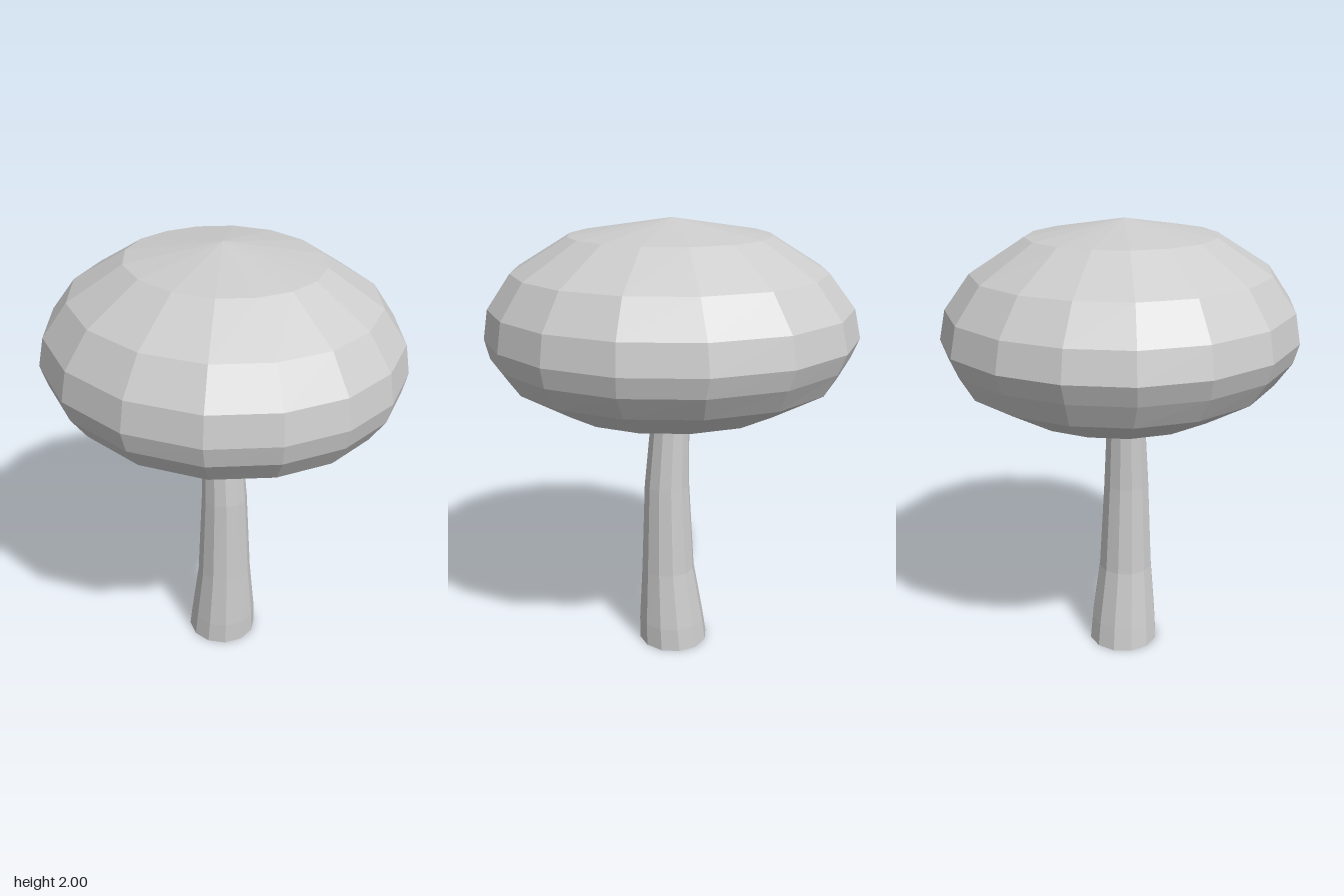
import * as THREE from 'three';

// Joins rings [y, xRadius, zRadius, xCentre, zCentre], bottom to top, into a faceted skin.
// The outline is a list of unit [x, z] points, counter-clockwise seen from above.
function loft(outline, rings) {
  const n = outline.length, pos = [];
  const point = ([y, rx, rz, cx, cz], i) => {
    const [x, z] = outline[i % n];
    return [cx + x * rx, y, cz + z * rz];
  };
  for (let r = 0; r < rings.length - 1; r++) {
    const low = rings[r], high = rings[r + 1];
    for (let i = 0; i < n; i++) {
      const a = point(low, i), b = point(low, i + 1);
      const c = point(high, i + 1), d = point(high, i);
      if (low[1] > 0) pos.push(...a, ...b, ...c);
      if (high[1] > 0) pos.push(...a, ...c, ...d);
      else continue;
      if (low[1] === 0) continue;
    }
  }
  const geometry = new THREE.BufferGeometry();
  geometry.setAttribute('position', new THREE.Float32BufferAttribute(pos, 3));
  geometry.computeVertexNormals(); // unshared corners give flat facets
  return geometry;
}

export function createModel() {
  const group = new THREE.Group();
  group.name = 'mushroom';

  const grey = new THREE.MeshStandardMaterial({ color: 0xcccccc, side: THREE.DoubleSide });
  grey.name = 'light grey';

  // Slightly uneven sixteen-sided cap outline
  const capOutline = [
    [0.8, 0], [0.745, -0.265], [0.59, -0.505], [0.33, -0.685],
    [0, -0.758], [-0.34, -0.705], [-0.605, -0.525], [-0.758, -0.27],
    [-0.803, 0], [-0.758, 0.268], [-0.6, 0.51], [-0.335, 0.69],
    [0, 0.755], [0.335, 0.69], [0.6, 0.51], [0.75, 0.265],
  ].map(([x, z]) => [x / 0.8, z / 0.757]);

  const cap = new THREE.Mesh(loft(capOutline, [
    [1.12, 0, 0, 0, 0],
    [1.205, 0.495, 0.458, 0.004, -0.005],
    [1.33, 0.712, 0.665, 0, -0.003],
    [1.43, 0.772, 0.733, 0.008, 0],
    [1.515, 0.8, 0.757, 0, 0],
    [1.64, 0.775, 0.733, 0.004, 0],
    [1.785, 0.668, 0.63, 0.01, 0],
    [1.93, 0.43, 0.402, 0.008, -0.003],
    [2.0, 0, 0, 0, 0],
  ]), grey);
  cap.name = 'cap';
  group.add(cap);

  // Gently bent, tapering stem, open at the foot
  const sides = 12;
  const stemOutline = Array.from({ length: sides }, (_, i) => {
    const t = (i / sides) * Math.PI * 2;
    return [Math.cos(t), -Math.sin(t)];
  });
  const stem = new THREE.Mesh(loft(stemOutline, [
    [0, 0.163, 0.163, -0.008, 0],
    [0.11, 0.155, 0.155, 0, 0],
    [0.38, 0.124, 0.126, 0.016, 0.004],
    [0.8, 0.104, 0.105, 0.02, 0.007],
    [1.16, 0.086, 0.086, 0.002, 0.01],
  ]), grey);
  stem.name = 'stem';
  group.add(stem);

  return group;
}
